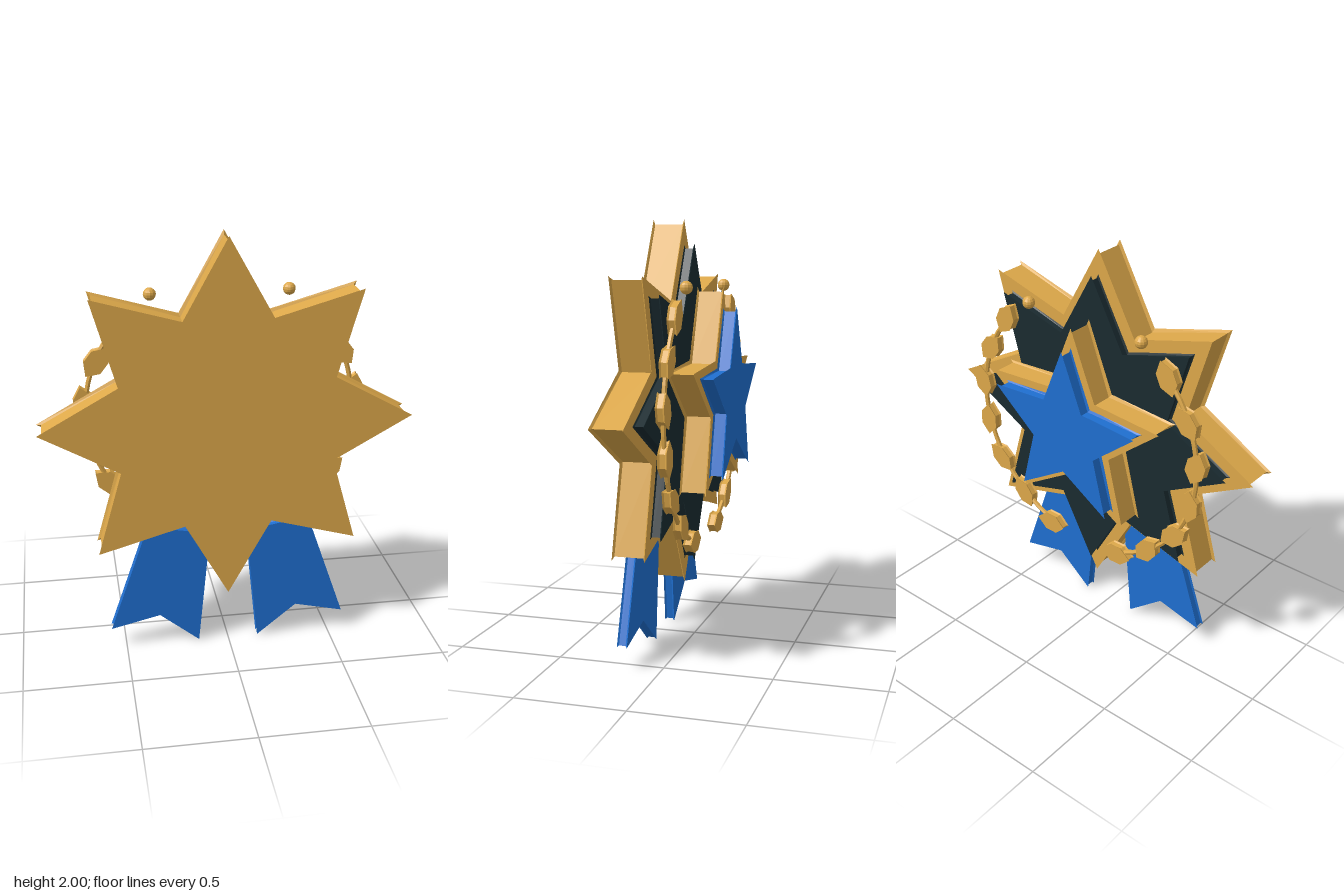
import * as THREE from 'three';

const material = (color) => new THREE.MeshStandardMaterial({ color, flatShading: true });

// Points of a star with its first tip pointing up
function starPoints(tips, outer, inner) {
  const pts = [];
  for (let i = 0; i < tips * 2; i++) {
    const a = Math.PI / 2 + (i * Math.PI) / tips;
    const r = i % 2 ? inner : outer;
    pts.push(new THREE.Vector2(Math.cos(a) * r, Math.sin(a) * r));
  }
  return pts;
}

// Plate from zBack to zFront whose rim is recessed between its two faces
function plate(name, pts, zBack, zFront, mat, recess = 0.016) {
  const lip = 0.008;
  const geo = new THREE.ExtrudeGeometry(new THREE.Shape(pts), {
    depth: zFront - zBack - 2 * lip,
    bevelEnabled: true, bevelThickness: lip, bevelSize: -recess, bevelSegments: 1,
  });
  geo.translate(0, 0, zBack + lip);
  const mesh = new THREE.Mesh(geo, mat);
  mesh.name = name;
  return mesh;
}

export function createModel() {
  const group = new THREE.Group();
  group.name = 'rosetteMedal';
  const gold = material(0xdda84a);
  const blue = material(0x1f6fd0);
  const dark = material(0x1a2b30);
  const centreY = 1.13;

  // Stacked stars
  const stars = [
    ['frontStar', 8, 0.87, 0.54, 0.05, 0.2, gold, centreY],
    ['darkStar', 8, 0.76, 0.47, 0, 0.053, dark, centreY],
    ['goldBackStar', 5, 0.52, 0.23, -0.14, -0.015, gold, 1.17],
    ['blueBackStar', 5, 0.43, 0.19, -0.205, -0.138, blue, 1.17],
  ];
  for (const [name, tips, outer, inner, z0, z1, mat, y] of stars) {
    const star = plate(name, starPoints(tips, outer, inner), z0, z1, mat);
    star.position.y = y;
    group.add(star);
  }

  // Ribbon tails and laurel branches, mirrored left and right
  const leafPts = [[0, -0.085], [0.048, -0.035], [0.048, 0.03], [0, 0.085], [-0.048, 0.03], [-0.048, -0.035]]
    .map(([x, y]) => new THREE.Vector2(x, y));
  const tail = [[0.145, 0.005], [0.335, 0.16], [0.57, 0.105], [0.385, 0.64], [0.088, 0.585]];
  const rad = THREE.MathUtils.degToRad;

  for (const side of [1, -1]) {
    const label = side > 0 ? 'left' : 'right';
    group.add(plate(label + 'RibbonTail', tail.map(([x, y]) => new THREE.Vector2(x * side, y)),
      0.15, 0.197, blue, 0.008));

    const branch = new THREE.Group();
    branch.name = label + 'LaurelBranch';
    branch.position.set(0, centreY, -0.048);
    const at = (deg, r) => new THREE.Vector3(side * Math.cos(rad(deg)) * r, Math.sin(rad(deg)) * r, 0);

    // Curved stem
    const path = [];
    for (let d = -71; d <= 43; d += 9.5) path.push(at(d, 0.64));
    const stem = new THREE.Mesh(
      new THREE.TubeGeometry(new THREE.CatmullRomCurve3(path), 24, 0.012, 6), gold);
    stem.name = label + 'Stem';
    branch.add(stem);

    // Leaves along the stem, tilted alternately
    for (let i = 0; i < 7; i++) {
      const deg = 43 - i * 19;
      const leaf = plate(label + 'Leaf', leafPts, -0.02, 0.02, gold, 0.005);
      leaf.position.copy(at(deg, i % 2 ? 0.635 : 0.645));
      leaf.rotation.z = side * rad(deg + (i % 2 ? 14 : -18));
      branch.add(leaf);
    }

    // Berry beyond the top leaf
    const berry = new THREE.Mesh(new THREE.SphereGeometry(0.03, 12, 8), gold);
    berry.name = label + 'Berry';
    berry.position.copy(at(60, 0.65));
    berry.position.z = -0.008;
    branch.add(berry);
    group.add(branch);
  }
  return group;
}
